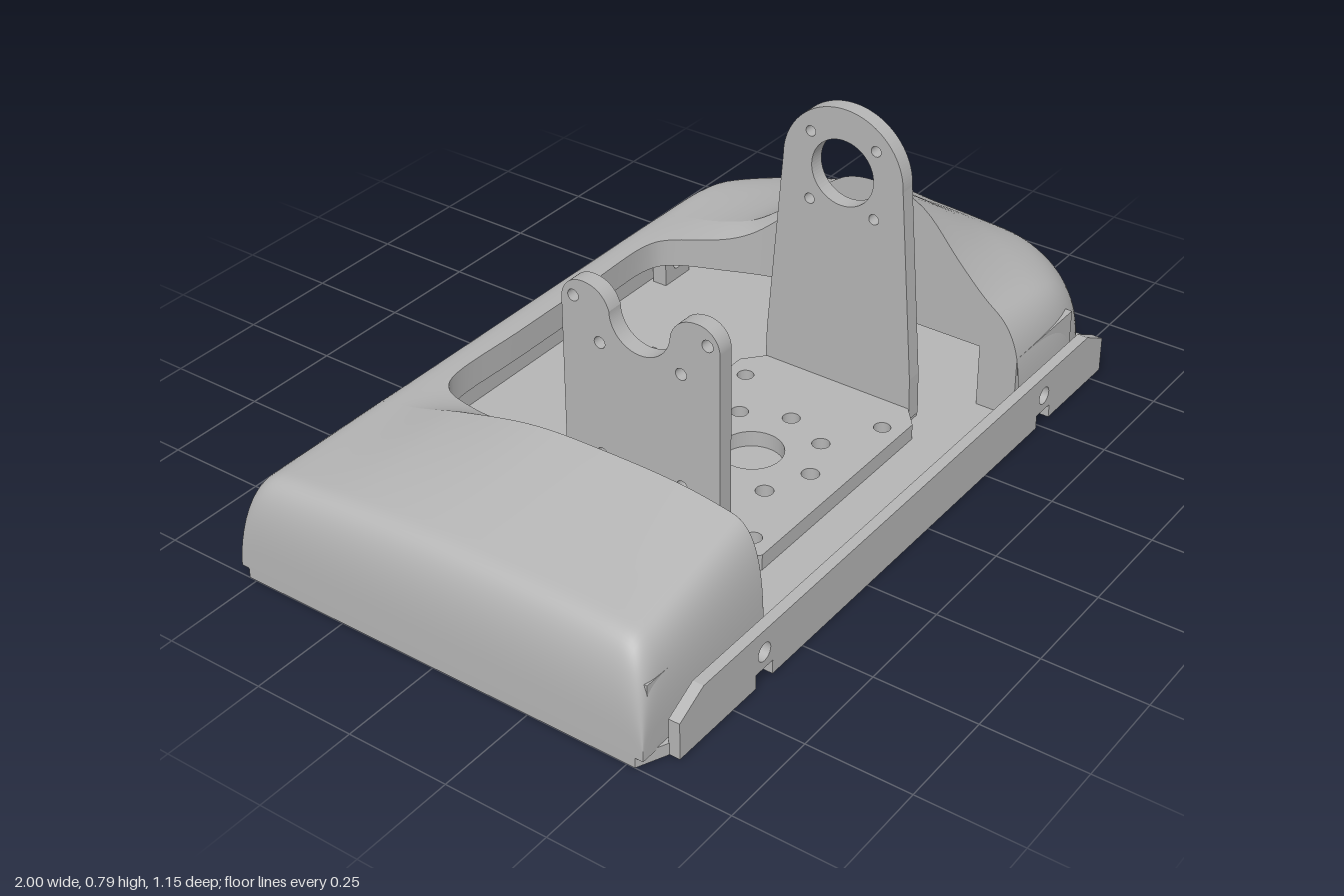
import * as THREE from 'three';

const metal = new THREE.MeshStandardMaterial({ color: 0xb4b4b4, side: THREE.DoubleSide });
metal.name = 'satin grey';

const HALF = 0.54, FLOOR = 0.03, CEILING = 0.19;
const LEFT_CUT = -0.59, RIGHT_CUT = 0.455;

// Smooth interpolation through [position, value] pairs
function curve(pts) {
  const slope = i => {
    const a = pts[Math.max(i - 1, 0)], b = pts[Math.min(i + 1, pts.length - 1)];
    return (b[1] - a[1]) / (b[0] - a[0]);
  };
  return x => {
    let i = 0;
    while (i < pts.length - 2 && x > pts[i + 1][0]) i++;
    const [a, ya] = pts[i], [b, yb] = pts[i + 1], w = b - a;
    const t = THREE.MathUtils.clamp((x - a) / w, 0, 1), t2 = t * t, t3 = t2 * t;
    return ya * (2 * t3 - 3 * t2 + 1) + yb * (3 * t2 - 2 * t3)
      + slope(i) * w * (t3 - 2 * t2 + t) + slope(i + 1) * w * (t3 - t2);
  };
}

// Height profiles of the cover
const noseHeight = curve([[-0.54, 0.24], [-0.5, 0.247], [-0.4, 0.262], [-0.3, 0.285], [-0.2, 0.325], [-0.1, 0.4],
  [0, 0.488], [0.06, 0.525], [0.14, 0.535], [0.22, 0.525], [0.28, 0.49], [0.36, 0.4], [0.44, 0.32], [0.5, 0.28], [0.54, 0.265]]);
const tailHeight = curve([[-0.54, 0.245], [-0.4, 0.265], [-0.25, 0.31], [-0.05, 0.355], [0.14, 0.365], [0.35, 0.36], [0.54, 0.33]]);
const lowHeight = curve([[-0.54, 0.242], [-0.41, 0.26], [0, 0.27], [0.41, 0.265], [0.54, 0.25]]);
const crest = curve([[0, 1], [0.17, 0.86], [0.36, 0.7], [0.54, 0.56], [0.73, 0.41], [0.85, 0.26], [0.945, 0.115], [1, 0]]);

// Rounded drop towards an outer edge, d = distance from that edge
const edge = d => Math.cbrt(1 - Math.pow(1 - THREE.MathUtils.clamp(d / 0.09, 0, 1), 3));
const sideEdge = z => edge(HALF - Math.abs(z));

function mesh(name, geometry, parent) {
  const m = new THREE.Mesh(geometry, metal);
  m.name = name;
  parent.add(m);
  return m;
}

// Grid surface from a function of u, v
function sheet(nu, nv, f) {
  const pos = [], idx = [];
  for (let i = 0; i <= nu; i++) {
    for (let j = 0; j <= nv; j++) {
      pos.push(...f(i / nu, j / nv));
      if (i < nu && j < nv) {
        const a = i * (nv + 1) + j, b = a + nv + 1;
        idx.push(a, a + 1, b, b, a + 1, b + 1);
      }
    }
  }
  const g = new THREE.BufferGeometry();
  g.setAttribute('position', new THREE.Float32BufferAttribute(pos, 3));
  g.setIndex(idx);
  g.computeVertexNormals();
  return g;
}

// Cover section: skin, flat ceiling below it, and the wall along the cut edge
function coverSection(name, nu, nv, f, cut, parent) {
  const group = new THREE.Group();
  group.name = name;
  parent.add(group);
  const under = y => Math.min(CEILING, y - 0.008);
  mesh(name + 'Skin', sheet(nu, nv, f), group);
  mesh(name + 'Ceiling', sheet(nu, nv, (u, v) => {
    const [x, y, z] = f(u, v);
    return [x, Math.max(under(y), 0.025), z];
  }), group);
  mesh(name + 'CutWall', sheet(80, 1, (u, v) => {
    const [x, y, z] = f(...cut(u));
    return [x, v ? under(y) : y, z];
  }), group);
}

function polygon(points) {
  return new THREE.Shape(points.map(p => new THREE.Vector2(...p)));
}

function drill(shape, holes) {
  for (const [x, y, r] of holes) shape.holes.push(new THREE.Path().absarc(x, y, r, 0, Math.PI * 2, true));
  return shape;
}

const extrude = (shape, depth) => new THREE.ExtrudeGeometry(shape, { depth, bevelEnabled: false, curveSegments: 32 });
const flat = (shape, depth) => extrude(shape, depth).rotateX(Math.PI / 2);     // drawn in x, z
const upright = (shape, depth) => extrude(shape, depth).rotateY(-Math.PI / 2); // drawn in z, y

function buildCover(parent) {
  const cover = new THREE.Group();
  cover.name = 'cover';
  parent.add(cover);
  const across = v => HALF * Math.sin((v - 0.5) * Math.PI);

  // Tail block
  coverSection('tail', 40, 72, (u, v) => {
    const t = 1 - Math.cos(u * Math.PI / 2), z = across(v), low = lowHeight(z);
    const h = low + (tailHeight(z) - low) * t;
    return [-1 + (1 + LEFT_CUT) * t, FLOOR + (h - FLOOR) * edge((1 + LEFT_CUT) * t) * sideEdge(z), z];
  }, u => [1, u], cover);

  // Nose, rounded in plan and sloping down to a raised lip
  const noseEnd = z => 0.6 + 0.4 * Math.pow(Math.max(0, 1 - Math.pow(Math.abs(z) / HALF, 2.6)), 0.36);
  const lip = z => FLOOR + Math.max(0, noseEnd(z) - 0.87) * 0.54;
  coverSection('nose', 48, 80, (u, v) => {
    const t = Math.sin(u * Math.PI / 2), z = across(v), h = noseHeight(z), y0 = lip(z);
    const w = THREE.MathUtils.clamp((h - 0.25) / 0.285, 0, 1);
    const p = THREE.MathUtils.lerp(Math.sqrt(Math.max(0, 1 - t ** 4)), crest(t), w);
    return [RIGHT_CUT + (noseEnd(z) - RIGHT_CUT) * t, y0 + (h - y0) * p * sideEdge(z), z];
  }, u => [0, u], cover);
  mesh('noseUnderside', sheet(1, 80, (u, v) => {
    const z = across(v), end = noseEnd(z);
    return u ? [end, lip(z), z] : [Math.min(0.87, end), FLOOR, z];
  }), cover);

  // Rear bridge joining both, following the curved cutout
  const path = new THREE.CatmullRomCurve3([[LEFT_CUT, 0], [-0.573, -0.12], [-0.525, -0.28], [-0.485, -0.38], [-0.44, -0.41],
    [-0.2, -0.413], [0.06, -0.413], [0.29, -0.41], [0.335, -0.38], [0.395, -0.25], [0.435, -0.14], [RIGHT_CUT, 0]]
    .map(([x, z]) => new THREE.Vector3(x, 0, z)));
  const rise = t => THREE.MathUtils.clamp(t, 0, 1) ** 2;
  coverSection('bridge', 80, 40, (u, v) => {
    const c = path.getPoint(u), x = c.x;
    const z = -HALF + (c.z + HALF) * (1 - Math.cos(v * Math.PI / 2)), low = lowHeight(z);
    const h = low + (tailHeight(z) - low) * rise((-0.45 - x) / 0.14) + (noseHeight(z) - low) * rise((x - 0.3) / 0.155);
    return [x, FLOOR + (h - FLOOR) * sideEdge(z), z];
  }, u => [u, 1], cover);

  // Thick front walls under the tail and the nose
  for (const [a, b] of [[-0.97, LEFT_CUT], [RIGHT_CUT, 0.72]]) {
    const wall = mesh('coverFrontWall', new THREE.BoxGeometry(b - a, CEILING - FLOOR, 0.1), cover);
    wall.position.set((a + b) / 2, (CEILING + FLOOR) / 2, 0.48);
  }
}

function buildBase(parent) {
  // Floor plate with eight screw holes
  const floor = polygon([[-1, -0.52], [-0.93, -0.552], [0.8, -0.552], [0.875, -0.49],
    [0.875, 0.49], [0.8, 0.552], [-0.93, 0.552], [-1, 0.52]]);
  drill(floor, [-0.33, 0.19].flatMap(x => [-0.335, -0.05, 0.05, 0.335].map(z => [x, z, 0.022])));
  mesh('floorPlate', flat(floor, FLOOR), parent).position.y = FLOOR;

  // Side flanges with relief notches, screw holes and inner lugs
  const screws = [-0.64, 0.515];
  const outline = [[-0.93, 0]];
  for (const x of screws) outline.push([x - 0.03, 0], [x - 0.03, 0.035], [x + 0.03, 0.035], [x + 0.03, 0]);
  outline.push([0.8, 0], [0.8, 0.09], [0.72, 0.132], [-0.85, 0.132], [-0.93, 0.09]);
  const flange = extrude(drill(polygon(outline), screws.map(x => [x, 0.076, 0.022])), 0.027);
  const lug = extrude(drill(polygon([[-0.05, 0.03], [0.05, 0.03], [0.05, 0.13], [-0.05, 0.13]]), [[0, 0.076, 0.016]]), 0.04);
  for (const side of [-1, 1]) {
    mesh('sideFlange', flange, parent).position.z = side > 0 ? 0.55 : -0.577;
    for (const x of screws) mesh('screwLug', lug, parent).position.set(x, 0, side > 0 ? 0.49 : -0.53);
  }
}

function buildBracket(parent) {
  const bracket = new THREE.Group();
  bracket.name = 'bracket';
  bracket.position.z = 0.142;
  parent.add(bracket);
  const pairs = (dz, y, r) => [[-dz, y, r], [dz, y, r]];

  // Bracket floor with a centre bore and a ring of holes
  const plate = polygon([[-0.47, -0.2], [-0.42, -0.2], [-0.37, -0.243], [0.24, -0.243], [0.29, -0.2], [0.33, -0.2],
    [0.33, 0.2], [0.29, 0.2], [0.24, 0.243], [-0.37, 0.243], [-0.42, 0.2], [-0.47, 0.2]]);
  const holes = [[-0.06, 0, 0.075]];
  for (let i = 0; i < 8; i++) {
    const a = i * Math.PI / 4;
    holes.push([-0.06 + 0.16 * Math.cos(a), 0.16 * Math.sin(a), 0.021]);
  }
  for (const x of [-0.33, 0.19]) holes.push(...pairs(0.192, 0, 0.02).map(([z, , r]) => [x, z, r]));
  mesh('bracketFloor', flat(drill(plate, holes), 0.04), bracket).position.y = 0.07;

  // Tall upright with a round top and bearing hole
  const tall = new THREE.Shape();
  tall.moveTo(-0.203, 0.04).lineTo(0.203, 0.04).lineTo(0.2, 0.15).lineTo(0.161, 0.63);
  tall.absarc(0, 0.63, 0.161, 0, Math.PI, false).lineTo(-0.2, 0.15);
  drill(tall, [[0, 0.63, 0.083], ...pairs(0.087, 0.711, 0.013), ...pairs(0.087, 0.538, 0.013)]);
  mesh('tallUpright', upright(tall, 0.04), bracket).position.x = 0.33;

  // Short upright with an open cradle between two horns
  const short = new THREE.Shape();
  short.moveTo(-0.203, 0.04).lineTo(0.203, 0.04).lineTo(0.203, 0.61);
  short.absarc(0.148, 0.61, 0.055, 0, Math.PI / 2, false).quadraticCurveTo(0.095, 0.665, 0.078, 0.615);
  short.absarc(0, 0.615, 0.078, 0, Math.PI, true).quadraticCurveTo(-0.095, 0.665, -0.148, 0.665);
  short.absarc(-0.148, 0.61, 0.055, Math.PI / 2, Math.PI, false);
  drill(short, [...pairs(0.172, 0.622, 0.014), ...pairs(0.105, 0.53, 0.014), ...pairs(0.105, 0.25, 0.014)]);
  mesh('shortUpright', upright(short, 0.04), bracket).position.x = -0.43;
}

export function createModel() {
  const model = new THREE.Group();
  model.name = 'mountingBase';
  buildBase(model);
  buildCover(model);
  buildBracket(model);
  return model;
}
